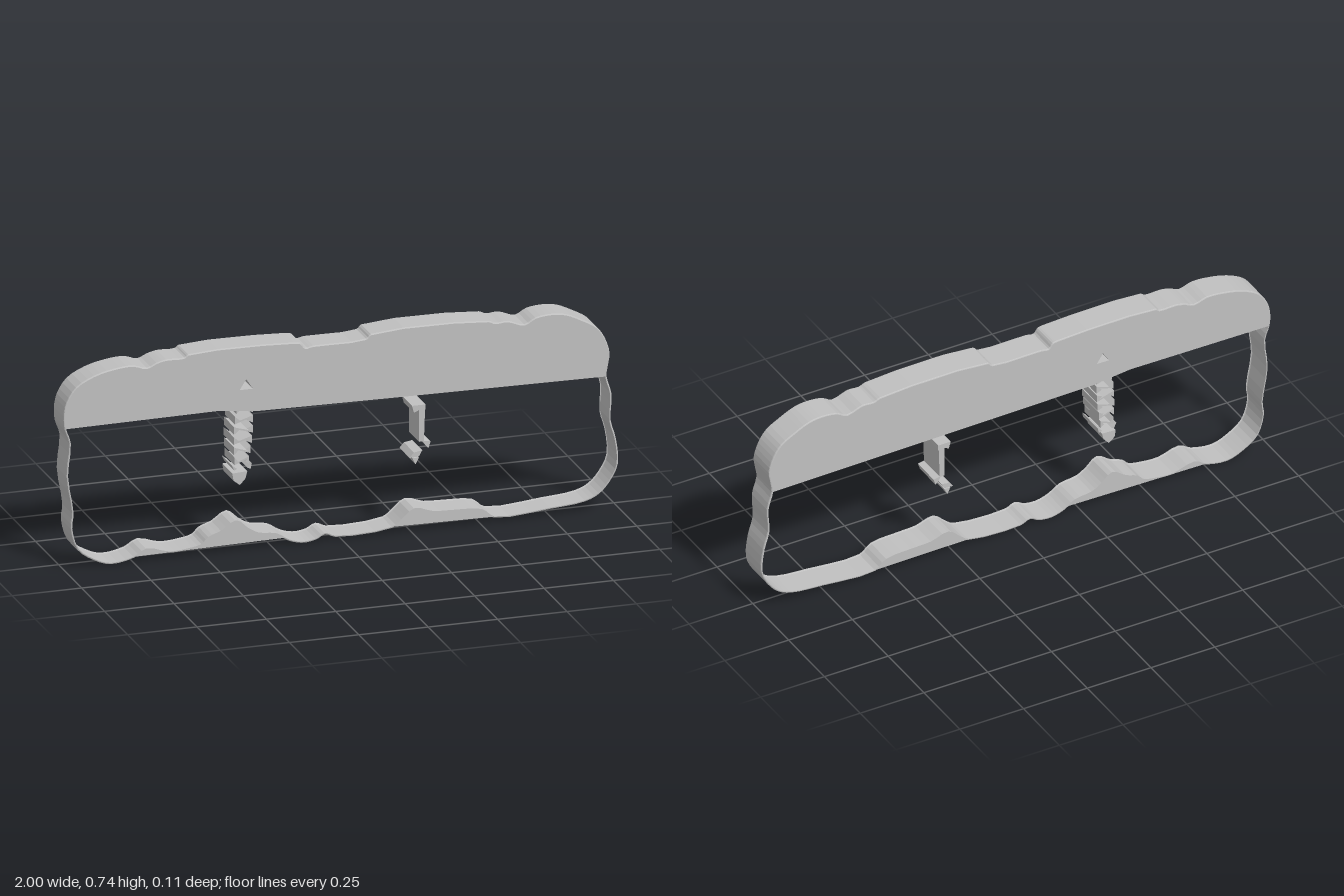
import * as THREE from 'three';

const D = 0.055; // half depth
const STEP = 3;  // curve points per outline segment

// Outline, clockwise from the left end of the top band
const top = [
  [-0.997, 0.512], [-1, 0.56], [-0.99, 0.607], [-0.955, 0.66], [-0.89, 0.695], [-0.82, 0.712],
  [-0.75, 0.717], [-0.7, 0.703], [-0.665, 0.717], [-0.63, 0.725], [-0.565, 0.725], [-0.55, 0.735],
  [-0.17, 0.735], [-0.145, 0.73], [-0.13, 0.712], [-0.1, 0.716], [0.09, 0.72], [0.108, 0.735],
  [0.53, 0.735], [0.555, 0.725], [0.6, 0.727], [0.66, 0.708], [0.7, 0.728], [0.76, 0.735],
  [0.81, 0.728], [0.865, 0.703], [0.92, 0.67], [0.95, 0.628], [0.968, 0.57], [0.962, 0.525], [0.957, 0.487],
];
const rightSide = [
  [0.975, 0.42], [0.972, 0.325], [0.99, 0.26], [0.998, 0.165], [0.97, 0.105], [0.93, 0.062], [0.88, 0.04],
];
const bottom = [
  [0.755, 0.027], [0.55, 0.018], [0.505, 0.05], [0.41, 0.058], [0.33, 0.062], [0.265, 0.08], [0.22, 0.045],
  [0.185, 0.022], [-0.02, 0.012], [-0.057, 0.026], [-0.09, 0.01], [-0.14, 0.004], [-0.19, 0.018],
  [-0.235, 0.045], [-0.3, 0.055], [-0.34, 0.078], [-0.378, 0.108], [-0.43, 0.077], [-0.475, 0.06],
  [-0.5, 0.037], [-0.55, 0.026], [-0.62, 0.022], [-0.7, 0.042], [-0.745, 0.018], [-0.83, 0.004],
];
const leftSide = [[-0.89, 0.025], [-0.95, 0.07], [-0.975, 0.15], [-0.97, 0.205], [-0.99, 0.34], [-0.98, 0.46]];

const vec = (pts) => pts.map(([x, y]) => new THREE.Vector2(x, y));

// Moves a clockwise loop inward by d
function inset(loop, d) {
  const n = loop.length;
  return loop.map((p, i) => {
    const t = loop[(i + 1) % n].clone().sub(loop[(i + n - 1) % n]).normalize();
    return new THREE.Vector2(p.x + t.y * d, p.y - t.x * d);
  });
}

export function createModel() {
  const model = new THREE.Group();
  const grey = new THREE.MeshStandardMaterial({ color: 0xc0c0c0, side: THREE.DoubleSide });
  grey.name = 'plain grey';

  const add = (name, geometry, z = 0) => {
    const mesh = new THREE.Mesh(geometry, grey);
    mesh.name = name;
    mesh.position.z = z;
    model.add(mesh);
  };
  const solid = (name, shape) => {
    add(name, new THREE.ExtrudeGeometry(shape, { depth: 2 * D, bevelEnabled: false }), -D);
  };
  const block = (name, pts) => solid(name, new THREE.Shape(vec(pts)));
  const facePair = (name, shape) => {
    add(name + 'Front', new THREE.ShapeGeometry(shape), D);
    add(name + 'Back', new THREE.ShapeGeometry(shape), -D);
  };

  const outline = [...top, ...rightSide, ...bottom, ...leftSide];
  const curve = new THREE.CatmullRomCurve3(outline.map(([x, y]) => new THREE.Vector3(x, y, 0)), true);
  const loop = curve.getPoints(outline.length * STEP).slice(0, -1).map((p) => new THREE.Vector2(p.x, p.y));

  // Thin wall all round, with slightly rounded rims
  const rim = 0.004;
  const wall = new THREE.Shape(inset(loop, rim));
  wall.holes.push(new THREE.Path(inset(loop, rim + 0.002)));
  add('rimWall', new THREE.ExtrudeGeometry(wall, {
    depth: 2 * (D - rim), bevelEnabled: true, bevelSize: rim, bevelThickness: rim, bevelSegments: 2,
  }), rim - D);

  // Top band: front and back faces, open below, with a pointed window
  const mid = inset(loop, 0.005);
  const band = new THREE.Shape([
    ...mid.slice(0, (top.length - 1) * STEP + 1),
    ...vec([[0.2, 0.495], [-0.3, 0.502], [-0.45, 0.518]]),
  ]);
  const window = vec([[-0.342, 0.622], [-0.366, 0.585], [-0.318, 0.585]]);
  band.holes.push(new THREE.Path(window));
  facePair('topBand', band);
  const windowWall = new THREE.Shape(vec([[-0.342, 0.632], [-0.372, 0.581], [-0.312, 0.581]]));
  windowWall.holes.push(new THREE.Path(window));
  solid('windowWall', windowWall);

  // Hill faces between the wavy wall and a straight base line
  for (const [name, x0, x1] of [['largeHill', -0.75, -0.188], ['smallHill', 0.18, 0.56]]) {
    facePair(name, new THREE.Shape(mid.filter((p) => p.y < 0.15 && p.x > x0 && p.x < x1)));
  }

  // Left tower: stacked rows of slats and edge wedges
  for (let i = 0; i < 7; i++) {
    const y = 0.55 - i * 0.037;
    const cx = -0.346 - i * 0.002;
    const w = 0.026 + 0.008 * Math.sin((i / 6) * Math.PI);
    const s = i % 2 ? 1 : -1;
    for (const side of [-1, 1]) {
      block('towerWedge', [
        [cx + side * w, y + 0.014], [cx + side * w, y - 0.014], [cx + side * 0.012, y + s * 0.004],
      ]);
    }
    block('towerSlat', [
      [cx - w, y + s * 0.01 + 0.003], [cx - w, y + s * 0.01 - 0.003],
      [cx + w, y - s * 0.01 - 0.003], [cx + w, y - s * 0.01 + 0.003],
    ]);
  }
  block('towerLeftFoot', [[-0.395, 0.315], [-0.375, 0.3], [-0.385, 0.295]]);
  block('towerRightFoot', [[-0.322, 0.315], [-0.338, 0.3], [-0.326, 0.295]]);
  block('towerTip', [[-0.392, 0.285], [-0.338, 0.288], [-0.345, 0.262], [-0.365, 0.24], [-0.388, 0.258]]);

  // Right post: cap, upright panel and broken base
  block('postCap', [[0.255, 0.458], [0.304, 0.458], [0.304, 0.44], [0.28, 0.44], [0.262, 0.432]]);
  block('postPanel', [[0.28, 0.44], [0.302, 0.44], [0.298, 0.325], [0.28, 0.325]]);
  block('postFoot', [[0.292, 0.328], [0.322, 0.322], [0.314, 0.298], [0.302, 0.312]]);
  block('postBase', [[0.246, 0.27], [0.262, 0.288], [0.292, 0.293], [0.28, 0.272]]);
  block('postTip', [[0.256, 0.268], [0.28, 0.268], [0.268, 0.244]]);

  return model;
}
